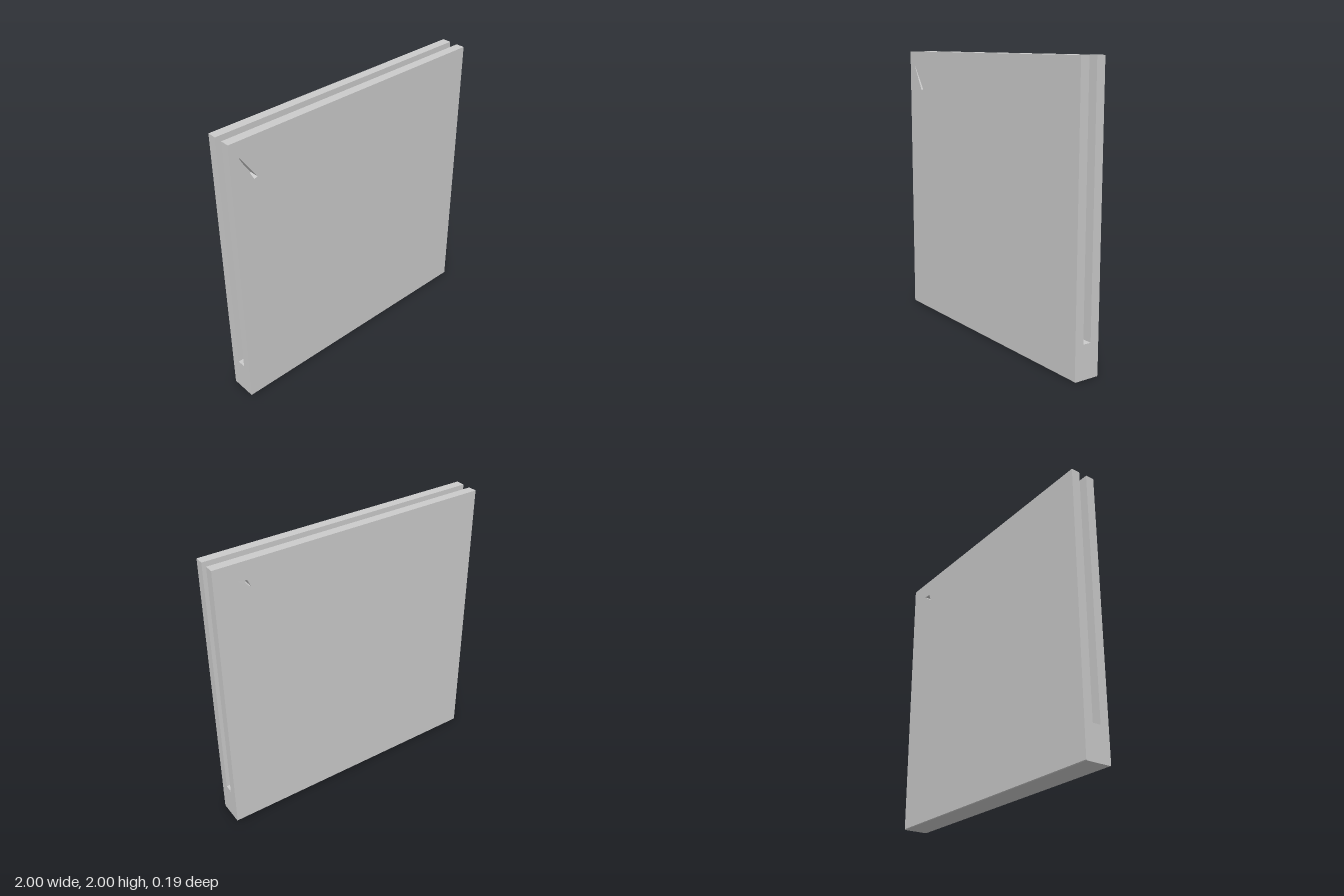
import * as THREE from 'three';

const W = 1, H = 2, D = 0.0935;   // half width, height, half depth
const GAP = 0.03, FLOOR = 0.236;  // half width of the slot, height of its floor
const BEVEL = 0.005;              // fine chamfer along the bottom edges

const material = new THREE.MeshStandardMaterial({ color: 0xcccccc, flatShading: true });

const toShape = (points) => new THREE.Shape(points.map(([x, y]) => new THREE.Vector2(x, y)));

// Upright panel with one small cut-out, extruded from z upwards
function panel(name, z, cutout) {
  const shape = toShape([[-W, FLOOR], [W, FLOOR], [W, H], [-W, H]]);
  shape.holes.push(new THREE.Path(cutout.map(([x, y]) => new THREE.Vector2(x, y))));
  const geometry = new THREE.ExtrudeGeometry(shape, { depth: D - GAP, bevelEnabled: false });
  const mesh = new THREE.Mesh(geometry, material);
  mesh.name = name;
  mesh.position.z = z;
  return mesh;
}

export function createModel() {
  const group = new THREE.Group();
  group.name = 'slottedPanel';

  // Solid foot joining the two panels: its section is extruded along x
  const section = toShape([
    [-D + BEVEL, 0], [D - BEVEL, 0], [D, BEVEL], [D, FLOOR], [-D, FLOOR], [-D, BEVEL],
  ]);
  const footGeometry = new THREE.ExtrudeGeometry(section, { depth: 2 * W, bevelEnabled: false });
  footGeometry.translate(0, 0, -W).rotateY(Math.PI / 2);
  const foot = new THREE.Mesh(footGeometry, material);
  foot.name = 'foot';
  group.add(foot);

  // Panels on either side of the slot, each with its sliver-shaped cut-out
  group.add(panel('frontPanel', GAP, [[-0.935, 1.89], [-0.927, 1.885], [-0.815, 1.72], [-0.838, 1.71]]));
  group.add(panel('backPanel', -D, [[0.84, 1.88], [0.778, 1.873], [0.755, 1.823], [0.765, 1.825]]));

  return group;
}
